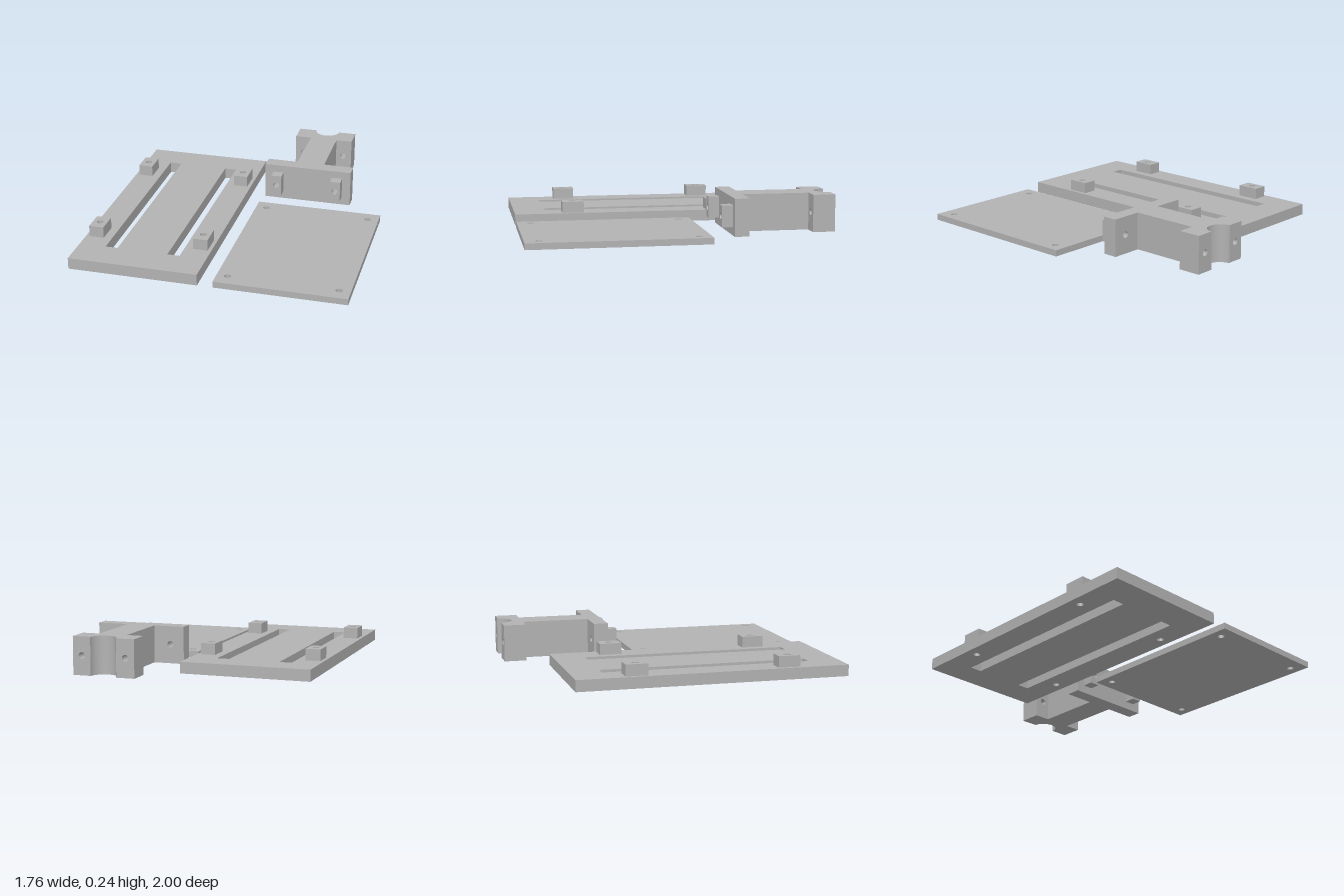
import * as THREE from 'three';
import { toCreasedNormals } from 'three/addons/utils/BufferGeometryUtils.js';

const HOLE_R = 0.021;

// Rectangular outline between two corners
function rect(x0, y0, x1, y1, Type = THREE.Shape) {
  const s = new Type();
  s.moveTo(x0, y0);
  s.lineTo(x1, y0);
  s.lineTo(x1, y1);
  s.lineTo(x0, y1);
  s.closePath();
  return s;
}

function hole(x, y) {
  const p = new THREE.Path();
  p.absarc(x, y, HOLE_R, 0, Math.PI * 2, true);
  return p;
}

function extrude(shape, depth) {
  return new THREE.ExtrudeGeometry(shape, { depth, bevelEnabled: false, curveSegments: 24 });
}

export function createModel() {
  const plastic = new THREE.MeshStandardMaterial({ color: 0xb2b2b2 });
  plastic.name = 'grey plastic';

  function add(parent, name, geometry) {
    const mesh = new THREE.Mesh(toCreasedNormals(geometry, 0.5), plastic);
    mesh.name = name;
    parent.add(mesh);
  }
  // Shape drawn in (x, -z), raised from y0 to y1
  const upright = (shape, y0, y1) =>
    extrude(shape, y1 - y0).rotateX(-Math.PI / 2).translate(0, y0, 0);
  // Shape drawn in (x, y), running from z0 to z1
  const along = (shape, z0, z1) => extrude(shape, z1 - z0).translate(0, 0, z0);

  const model = new THREE.Group();
  model.name = 'mountingKit';

  // Slotted base plate with four drilled bosses
  const base = new THREE.Group();
  base.name = 'slottedBase';
  model.add(base);
  const baseTop = 0.073;
  const plate = rect(-0.879, -1, -0.05, 0.736);
  for (const x of [-0.707, -0.301]) {
    plate.holes.push(rect(x, -0.795, x + 0.079, 0.538, THREE.Path));
  }
  for (const x of [-0.808, -0.121]) {
    for (const z of [-0.356, 0.615]) {
      plate.holes.push(hole(x, -z));
      const boss = rect(x - 0.0475, -z - 0.071, x + 0.0475, -z + 0.071);
      boss.holes.push(hole(x, -z));
      add(base, 'boss', upright(boss, baseTop, 0.145));
    }
  }
  add(base, 'basePlate', upright(plate, 0, baseTop));

  // Thin cover plate with corner holes
  const cover = rect(0.048, -1, 0.877, 0.142);
  for (const x of [0.118, 0.805]) {
    for (const z of [-0.062, 0.91]) cover.holes.push(hole(x, -z));
  }
  add(model, 'coverPlate', upright(cover, 0, 0.04));

  // Bracket, built around its own centre line
  const bracket = new THREE.Group();
  bracket.name = 'bracket';
  bracket.position.x = 0.342;
  model.add(bracket);
  const height = 0.24, holeY = 0.122, web = 0.093, notchR = 0.084;

  // Web ending in a half-round saddle
  const webShape = new THREE.Shape();
  webShape.moveTo(-web, 0.417);
  webShape.lineTo(web, 0.417);
  webShape.lineTo(web, 1);
  webShape.lineTo(notchR, 1);
  webShape.absarc(0, 1.004, notchR, 0, -Math.PI, true);
  webShape.lineTo(-notchR, 1);
  webShape.lineTo(-web, 1);
  webShape.closePath();
  add(bracket, 'webWithSaddle', upright(webShape, 0, height));

  // Front flange, drilled lugs and rear cheeks
  const flange = rect(-0.295, 0, 0.295, height);
  for (const side of [-1, 1]) {
    const lugX = side * 0.203;
    flange.holes.push(hole(lugX, holeY));
    const lug = rect(lugX - 0.035, 0.053, lugX + 0.035, 0.192);
    lug.holes.push(hole(lugX, holeY));
    add(bracket, 'lug', along(lug, -0.323, -0.252));

    const mid = side * (web + 0.202) / 2;
    const half = (0.202 - web) / 2;
    const cheek = rect(mid - half, 0, mid + half, height);
    cheek.holes.push(hole(side * 0.143, holeY));
    add(bracket, 'rearCheek', along(cheek, -1, -0.855));
  }
  add(bracket, 'frontFlange', along(flange, -0.417, -0.323));

  return model;
}
